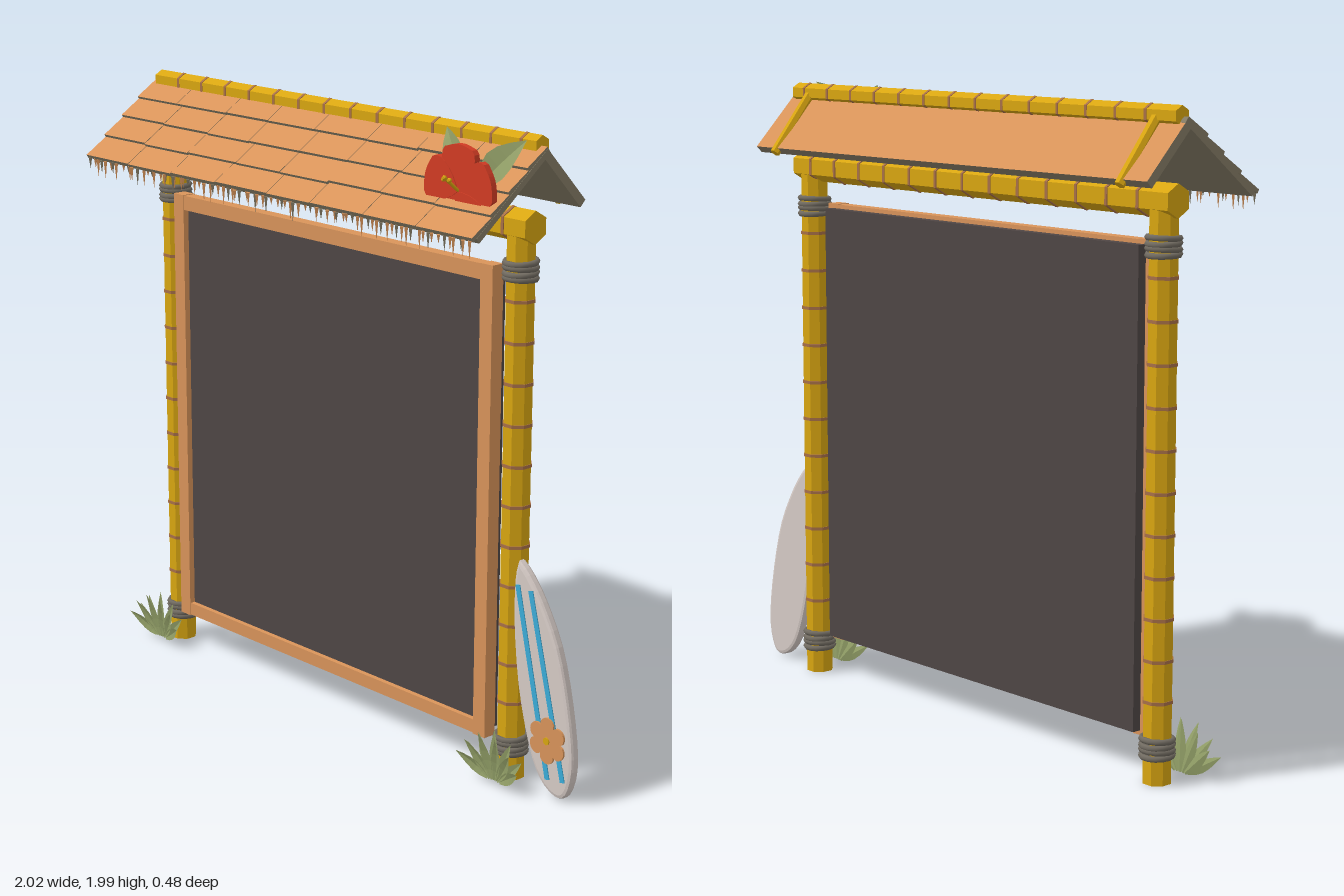
import * as THREE from 'three';
import { mergeGeometries } from 'three/addons/utils/BufferGeometryUtils.js';

const mat = (name, color) => Object.assign(new THREE.MeshStandardMaterial({ color }), { name });

export function createModel() {
  const bamboo = mat('bamboo', 0xd9a611);
  const node = mat('bambooNode', 0xa87048);
  const wood = mat('wood', 0xd9945a);
  const thatch = mat('thatch', 0x857c66);
  const rope = mat('rope', 0x726c62);
  const slate = mat('slate', 0x4f4645);
  const white = mat('boardWhite', 0xd6cbc6);
  const blue = mat('blue', 0x3cacd8);
  const red = mat('red', 0xd23c24);
  const green = mat('leafGreen', 0x93a068);
  green.side = THREE.DoubleSide;

  const root = new THREE.Group();
  let seed = 7;
  const rnd = () => (seed = (seed * 16807) % 2147483647) / 2147483647;

  const add = (name, geo, material, parent = root) => {
    const m = new THREE.Mesh(geo, material);
    m.name = name;
    parent.add(m);
    return m;
  };
  const group = (name, x = 0, y = 0, z = 0, parent = root) => {
    const g = new THREE.Group();
    g.name = name;
    g.position.set(x, y, z);
    parent.add(g);
    return g;
  };
  const flat = (geo) => {
    const g = geo.index ? geo.toNonIndexed() : geo;
    g.computeVertexNormals();
    return g;
  };
  const box = (x0, x1, y0, y1, z0, z1) =>
    new THREE.BoxGeometry(x1 - x0, y1 - y0, z1 - z0).translate((x0 + x1) / 2, (y0 + y1) / 2, (z0 + z1) / 2);
  const cane = (r, len, sides) => flat(new THREE.CylinderGeometry(r, r, len, sides).rotateY(Math.PI / sides));
  const extrude = (shape, depth) =>
    new THREE.ExtrudeGeometry(shape, { depth, bevelEnabled: false, curveSegments: 8 });

  // Bamboo pole along y from 0 to len, with regular node rings
  const pole = (name, r, len, sides, first, step, last) => {
    const g = group(name);
    add(name + 'Cane', cane(r, len, sides).translate(0, len / 2, 0), bamboo, g);
    const rings = [];
    for (let y = first; y <= last; y += step) rings.push(cane(r * 1.06, 0.01, sides).translate(0, y, 0));
    add(name + 'Nodes', mergeGeometries(rings), node, g);
    return g;
  };

  // Posts with rope lashings
  for (const x of [-0.885, 0.715]) {
    const post = pole('post', 0.045, 1.71, 8, 0.25, 0.125, 1.51);
    post.position.set(x, 0, -0.07);
    for (const y0 of [0.085, 1.565]) {
      const coils = [0, 1, 2, 3].map((i) =>
        new THREE.TorusGeometry(0.047, 0.0095, 6, 14).rotateX(Math.PI / 2 + (i % 2 ? 0.06 : -0.04)).translate(0, y0 + i * 0.016, 0));
      add('ropeLashing', mergeGeometries(coils), rope, post);
    }
  }

  // Cross beam and ridge pole
  const beam = pole('crossBeam', 0.05, 1.71, 6, 0.12, 0.125, 1.65);
  beam.rotation.z = -Math.PI / 2;
  beam.position.set(-0.94, 1.72, -0.07);
  const ridge = pole('ridgePole', 0.03, 1.74, 6, 0.12, 0.12, 1.7);
  ridge.rotation.z = -Math.PI / 2;
  ridge.position.set(-0.955, 1.96, -0.075);

  // Rafters on the rear slope
  for (const x of [-0.87, 0.71]) {
    const a = new THREE.Vector3(x, 1.965, -0.08), b = new THREE.Vector3(x, 1.77, -0.236);
    const m = add('rafter', cane(0.016, a.distanceTo(b), 6), bamboo);
    m.position.copy(a).lerp(b, 0.5);
    m.quaternion.setFromUnitVectors(new THREE.Vector3(0, 1, 0), a.clone().sub(b).normalize());
  }

  // Roof: covered top face, dull edges and underside
  const L = -0.975, R = 0.81;
  const cover = [thatch, thatch, wood, thatch, thatch, thatch];
  const rear = group('rearRoof', 0, 1.955, -0.07);
  rear.rotation.x = -0.8;
  add('rearRoofSlab', box(L, R, -0.028, 0, -0.235, 0), cover, rear);
  const front = group('frontRoof', 0, 1.965, -0.065);
  front.rotation.x = 0.665;
  add('frontRoofSlab', box(L, R, -0.03, -0.012, 0, 0.36), thatch, front);

  // Overlapping shingles, four courses of eight
  const rowLen = 0.092, colW = (R - L) / 8;
  for (let r = 0; r < 4; r++) {
    const cuts = [L];
    for (let c = 1; c < 8; c++) cuts.push(L + c * colW + (rnd() - 0.5) * 0.03);
    cuts.push(R);
    for (let c = 0; c < 8; c++) {
      const jitter = (rnd() - 0.5) * 0.008;
      const geo = box(cuts[c] + 0.001, cuts[c + 1] - 0.001, -0.013, 0, 0, rowLen + 0.004);
      const s = add('shingle', geo, cover, front);
      s.position.set(0, -0.007, r * rowLen + jitter);
      s.rotation.x = -0.1;
    }
  }

  // Straw fringe under the front eave
  const straws = [[], []];
  for (let i = 0; i < 84; i++) {
    const len = 0.022 + rnd() * 0.04;
    const x = L + 0.012 + (i / 83) * (R - L - 0.024) + (rnd() - 0.5) * 0.01;
    straws[i % 3 === 0 ? 1 : 0].push(flat(new THREE.ConeGeometry(0.007, len, 4))
      .rotateX(Math.PI).translate(x, 1.728 - len / 2, 0.212 + rnd() * 0.018));
  }
  add('strawFringe', mergeGeometries(straws[0]), wood);
  add('dullStrawFringe', mergeGeometries(straws[1]), thatch);

  // Framed dark panel
  add('panel', box(-0.8, 0.64, 0.135, 1.585, -0.085, -0.03), slate);
  add('frameLeftStile', box(0.61, 0.66, 0.12, 1.6, -0.055, -0.01), wood);
  add('frameRightStile', box(-0.82, -0.77, 0.12, 1.6, -0.055, -0.01), wood);
  add('frameTopRail', box(-0.77, 0.61, 1.55, 1.598, -0.055, -0.013), wood);
  add('frameBottomRail', box(-0.77, 0.61, 0.122, 0.165, -0.055, -0.013), wood);

  // Leaning surfboard
  const surf = group('surfboard');
  const outline = new THREE.SplineCurve([
    [0.76, 0.71], [0.8, 0.675], [0.857, 0.6], [0.925, 0.47], [0.973, 0.29], [0.994, 0.13], [0.975, 0.035],
    [0.935, 0.008], [0.872, 0.042], [0.822, 0.13], [0.772, 0.31], [0.748, 0.51], [0.748, 0.65], [0.76, 0.71],
  ].map((p) => new THREE.Vector2(...p)));
  const deck = new THREE.ExtrudeGeometry(new THREE.Shape(outline.getPoints(40)), {
    depth: 0.016, bevelThickness: 0.009, bevelSize: 0.012, bevelOffset: -0.009, bevelSegments: 2,
  });
  add('surfboardDeck', deck.translate(0, 0, -0.063), white, surf);
  for (const [x0, y0, x1, y1] of [[0.762, 0.64, 0.9, 0.055], [0.815, 0.635, 0.962, 0.065]]) {
    const s = add('surfboardStripe', new THREE.BoxGeometry(0.018, Math.hypot(x1 - x0, y1 - y0), 0.004), blue, surf);
    s.position.set((x0 + x1) / 2, (y0 + y1) / 2, -0.037);
    s.rotation.z = Math.atan2(x1 - x0, y0 - y1);
  }

  // Flower outline with n rounded petals in polar form
  const flowerShape = (n, radius, dip, turn) => {
    const pts = [];
    for (let i = 0; i < n * 10; i++) {
      const a = (i / (n * 10)) * Math.PI * 2;
      const k = Math.abs(Math.cos((n * (a - turn)) / 2));
      const d = radius * (dip + (1 - dip) * Math.pow(k, 0.6));
      pts.push(new THREE.Vector2(Math.cos(a) * d, Math.sin(a) * d));
    }
    return new THREE.Shape(pts);
  };
  const emblem = group('surfboardFlower', 0.9, 0.182, -0.037, surf);
  add('surfboardPetals', extrude(flowerShape(6, 0.074, 0.7, Math.PI / 2), 0.007), wood, emblem);
  add('surfboardFlowerCentre', new THREE.CylinderGeometry(0.012, 0.012, 0.004, 8).rotateX(Math.PI / 2).translate(0, 0, 0.009), bamboo, emblem);

  // Pointed leaf rising along +y, bending towards +z
  const leaf = (len, width, bend) => {
    const g = new THREE.PlaneGeometry(1, 1, 2, 5);
    const p = g.attributes.position;
    for (let i = 0; i < p.count; i++) {
      const t = p.getY(i) + 0.5, u = p.getX(i);
      const w = width * (0.3 * (1 - t) + 0.95 * Math.sin(Math.PI * Math.pow(t, 0.85)));
      p.setXYZ(i, u * w, t * len, bend * t * t + Math.abs(u) * w * 0.3);
    }
    return flat(g);
  };

  // Large red flower on the roof
  const bloom = group('roofFlower', 0.655, 1.835, 0.112);
  for (let i = 0; i < 5; i++) {
    const petal = new THREE.Shape();
    petal.moveTo(0, 0);
    petal.bezierCurveTo(-0.05, 0.03, -0.1, 0.125, -0.035, 0.13);
    petal.quadraticCurveTo(0, 0.142, 0.035, 0.13);
    petal.bezierCurveTo(0.1, 0.125, 0.05, 0.03, 0, 0);
    const m = add('roofPetal', extrude(petal, 0.02), red, bloom);
    m.rotation.z = (i * Math.PI * 2) / 5;
    m.position.z = (i % 2) * 0.003;
  }
  const stamen = new THREE.LineCurve3(new THREE.Vector3(0, 0, 0.015), new THREE.Vector3(0, 0.045, 0.072));
  add('roofStamen', new THREE.TubeGeometry(stamen, 1, 0.005, 6), bamboo, bloom);
  for (const [x, y, z] of [[0, 0.047, 0.074], [0.012, 0.04, 0.066], [-0.012, 0.04, 0.066]])
    add('roofStamenTip', new THREE.IcosahedronGeometry(0.008, 0).translate(x, y, z), bamboo, bloom);
  for (const s of [-1, 1]) {
    const m = add('roofLeaf', leaf(0.19, 0.085, -0.03), green, bloom);
    m.position.set(s * 0.03, 0.02, -0.045);
    m.rotation.set(-0.12, 0, -s * 0.75);
  }

  // Grass tufts at the post feet
  for (const x of [-0.897, 0.732]) {
    const tuft = group('grassTuft', x, 0.015, 0.015);
    for (let i = -5; i <= 5; i++) {
      const a = i * 0.2;
      const m = add('grassBlade', leaf(0.165 - Math.abs(i) * 0.008, 0.034, i % 2 ? 0.035 : 0.005), green, tuft);
      m.position.set(i * 0.005, 0, i % 2 ? 0.006 : 0);
      m.rotation.z = -a;
    }
  }
  return root;
}
